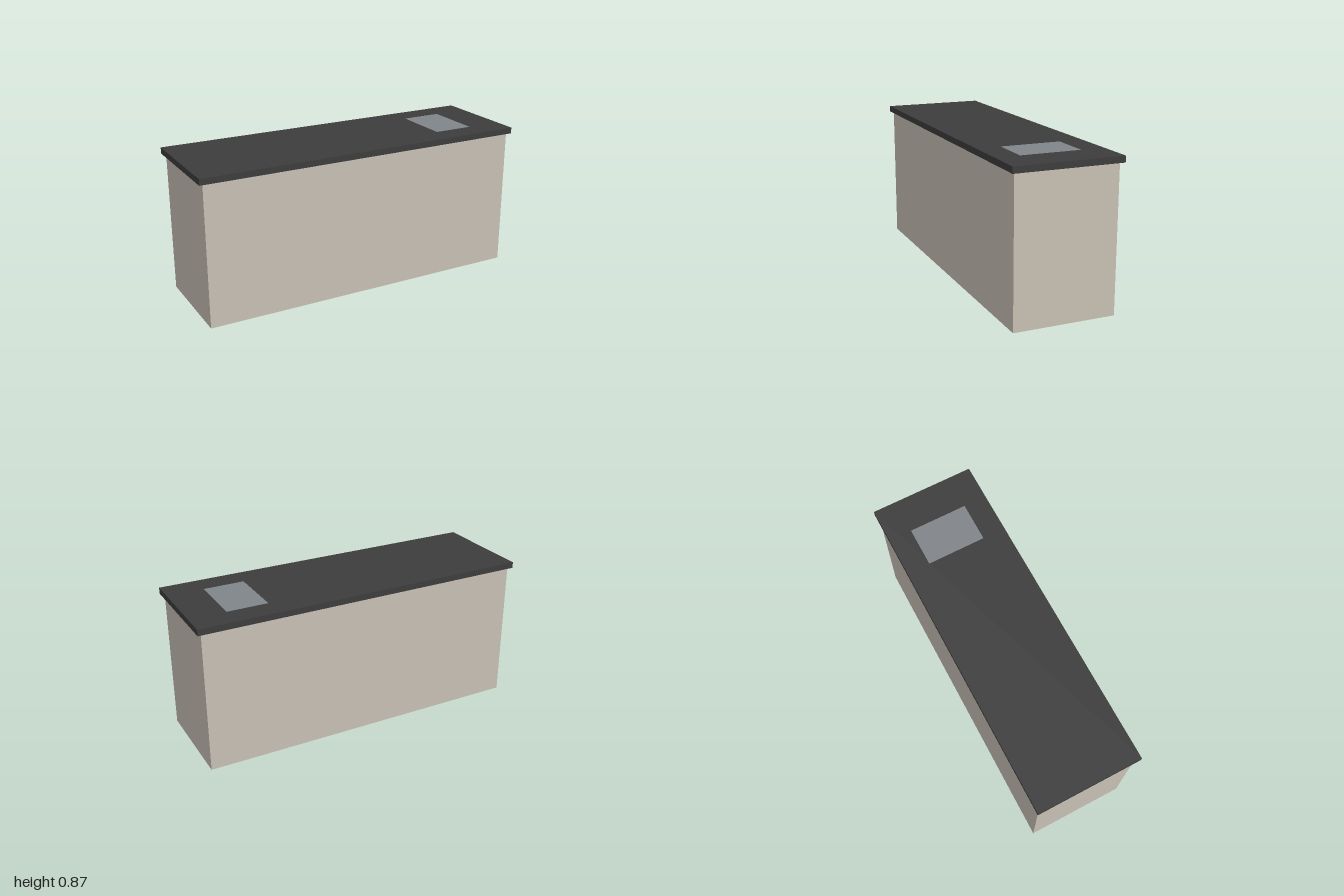
import * as THREE from 'three';

const BODY_TOP = 0.832;
const TOP = 0.868;

function addBox(group, name, size, position, color) {
  const mesh = new THREE.Mesh(
    new THREE.BoxGeometry(...size),
    new THREE.MeshStandardMaterial({ color })
  );
  mesh.name = name;
  mesh.position.set(...position);
  group.add(mesh);
}

export function createModel() {
  const group = new THREE.Group();
  group.name = 'counter';

  // Solid base cabinet
  addBox(group, 'cabinetBody', [1.954, BODY_TOP, 0.588], [0, BODY_TOP / 2, 0], 0xc8c0b4);

  // Overhanging worktop slab
  addBox(group, 'worktop', [2, TOP - BODY_TOP, 0.626], [0, (TOP + BODY_TOP) / 2, 0], 0x3d3d3d);

  // Grey plate let into the worktop, a hair proud of its surface
  addBox(group, 'insetPlate', [0.24, 0.01, 0.35], [0.667, TOP - 0.0046, 0], 0x80858a);

  return group;
}
